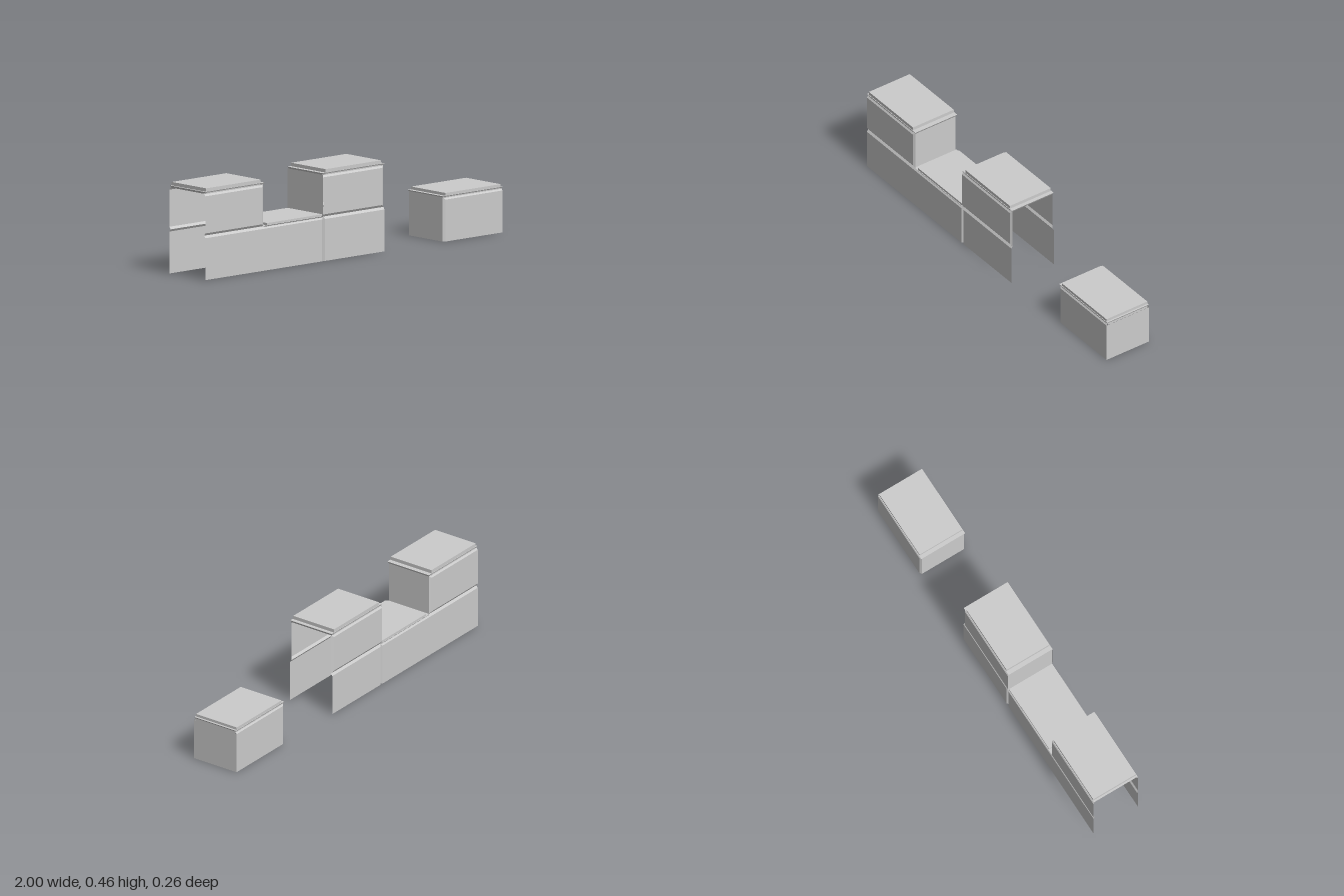
import * as THREE from 'three';

const FACE = 0.13;    // half depth at the wall face
const GROOVE = 0.122; // half depth at the bottom of the seams

const material = new THREE.MeshStandardMaterial({ color: 0xcccccc, flatShading: true, side: THREE.DoubleSide });

// Four-cornered loops joined by bands; the last loop may be filled
function loft(name, loops, filled, skip = []) {
  const index = [];
  for (let k = 0; k < loops.length - 1; k++) {
    for (let i = 0; i < 4; i++) {
      if (skip[i]) continue;
      const j = (i + 1) % 4, a = k * 4, b = a + 4;
      index.push(a + i, a + j, b + j, a + i, b + j, b + i);
    }
  }
  if (filled) {
    const b = (loops.length - 1) * 4;
    index.push(b, b + 1, b + 2, b, b + 2, b + 3);
  }
  const geometry = new THREE.BufferGeometry();
  geometry.setAttribute('position', new THREE.Float32BufferAttribute(loops.flat(2), 3));
  geometry.setIndex(index);
  const flat = geometry.toNonIndexed();
  flat.computeVertexNormals();
  const mesh = new THREE.Mesh(flat, material);
  mesh.name = name;
  return mesh;
}

// Upright rectangle, counter-clockwise from the front
const upright = (x0, x1, y0, y1, z) => [[x0, y0, z], [x1, y0, z], [x1, y1, z], [x0, y1, z]];
// Level rectangle, counter-clockwise from above
const level = (x0, x1, y, z) => [[x0, y, z], [x1, y, z], [x1, y, -z], [x0, y, -z]];

// Wall panel with bevelled borders: insets are bottom, right, top, left
function wall(name, x0, x1, y0, y1, [b, r, t, l]) {
  return loft(name, [
    upright(x0, x1, y0, y1, GROOVE),
    upright(x0 + l, x1 - r, y0 + b, y1 - t, FACE),
  ], true, [!b, !r, !t, !l]);
}

// Front wall and the matching back wall
function wallPair(group, x0, x1, y0, y1, [b, r, t, l]) {
  group.add(wall('frontWall', x0, x1, y0, y1, [b, r, t, l]));
  const back = wall('backWall', -x1, -x0, y0, y1, [b, l, t, r]);
  back.rotation.y = Math.PI;
  group.add(back);
}

// Closed end, facing along +x (dir 1) or -x (dir -1)
function endWall(group, x, y0, y1, halfDepth, dir) {
  const mesh = new THREE.Mesh(new THREE.PlaneGeometry(halfDepth * 2, y1 - y0), material);
  mesh.name = 'endWall';
  mesh.rotation.y = dir * Math.PI / 2;
  mesh.position.set(x, (y0 + y1) / 2, 0);
  group.add(mesh);
}

// Flared rim under a raised cap
function coping(group, [x0, x1], [c0, c1], y, rimTop, capTop) {
  const e = 0.006;
  group.add(loft('rim', [
    level(x0 + e, x1 - e, y, GROOVE),
    level(x0, x1, rimTop, 0.128),
    level(c0, c1, rimTop, 0.12),
  ], false));
  group.add(loft('cap', [
    level(c0, c1, y, 0.125),
    level(c0, c1, capTop, 0.125),
  ], true));
}

function block(name) {
  const group = new THREE.Group();
  group.name = name;
  return group;
}

export function createModel() {
  const model = new THREE.Group();
  model.name = 'blockWall';
  const v = 0.012; // bevel width
  const mid = 0.222, top = 0.432;

  // Long lower course, open underneath and at both ends
  const base = block('lowerCourse');
  wallPair(base, -1, -0.203, 0, mid, [0, 0.008, v, 0]);
  wallPair(base, -0.203, 0.205, 0, mid, [0, 0, v, 0.008]);
  coping(base, [-0.605, -0.205], [-0.58, -0.21], 0.217, 0.224, 0.235);
  model.add(base);

  // Upper block, closed towards the middle
  const towerA = block('rightUpperBlock');
  wallPair(towerA, -1, -0.605, mid, top, [v, v, v, 0]);
  endWall(towerA, -0.605, mid, top, GROOVE, 1);
  coping(towerA, [-1, -0.598], [-0.99, -0.623], top - 0.002, 0.441, 0.458);
  model.add(towerA);

  // Upper block, open at the far end
  const towerB = block('middleUpperBlock');
  wallPair(towerB, -0.207, 0.203, mid, top, [v, v, v, 0]);
  endWall(towerB, -0.207, mid, top, 0.128, -1);
  coping(towerB, [-0.21, 0.206], [-0.187, 0.185], top - 0.002, 0.441, 0.458);
  model.add(towerB);

  // Separate block, closed at both ends
  const single = block('separateBlock');
  wallPair(single, 0.603, 0.998, 0, mid, [0, 0, v, v]);
  endWall(single, 0.603, 0, mid, GROOVE, -1);
  endWall(single, 0.998, 0, mid - v, FACE, 1);
  endWall(single, 0.997, mid - v, mid, GROOVE, 1);
  coping(single, [0.6, 1], [0.62, 0.99], 0.218, 0.228, 0.242);
  model.add(single);

  return model;
}
